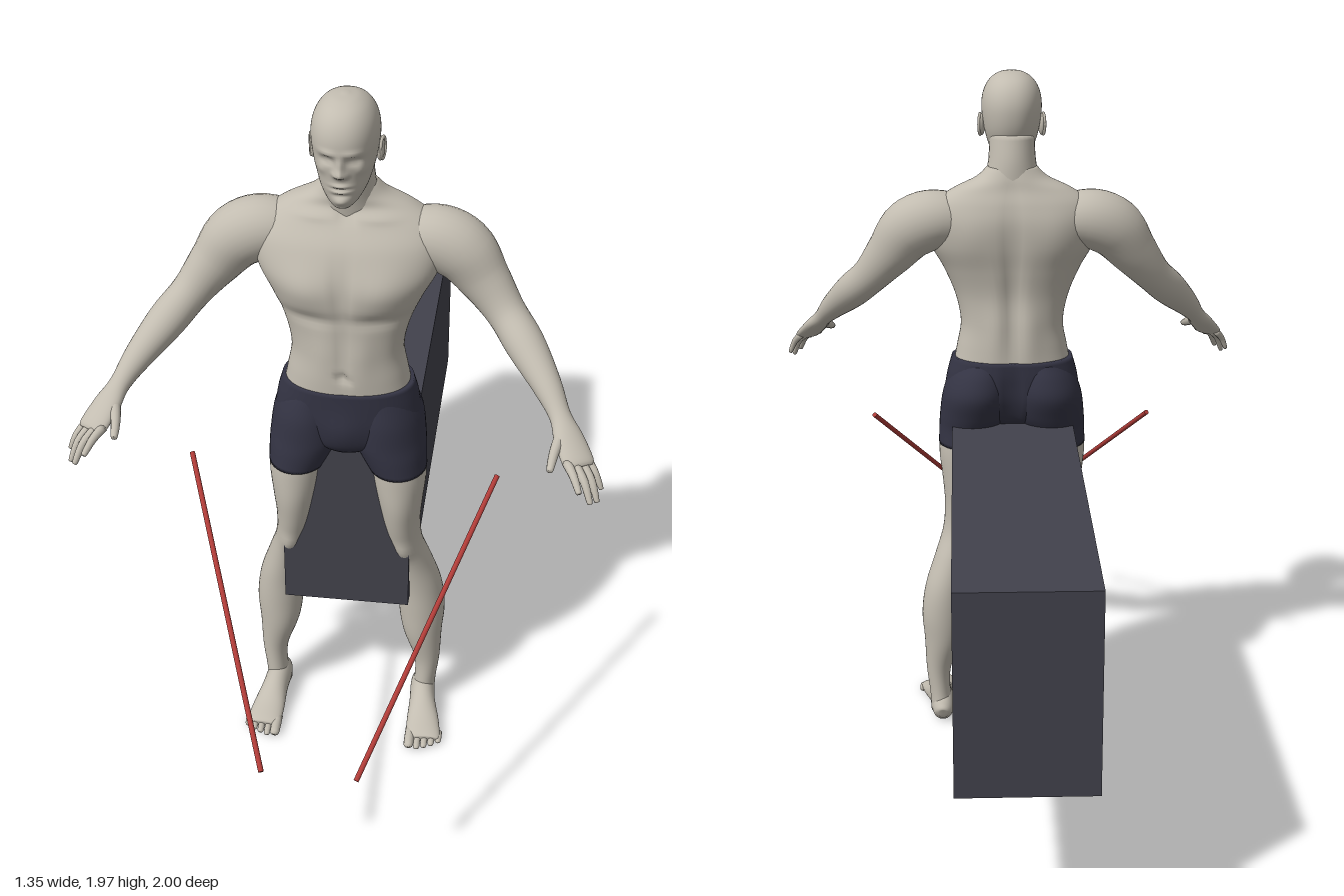
import * as THREE from 'three';

const mat = (name, color) => Object.assign(new THREE.MeshStandardMaterial({ color }), { name });

// Smooth skin over elliptical rings [x, y, z, radiusU, radiusV].
// flat: rings lie level, listed bottom to top (radiusU across x, radiusV along z).
// Otherwise rings stand square to the path (radiusU sideways, radiusV upright).
function loft(rings, { flat = false, segs = 28, rows = 5, power = 2, bumps = [], floor = false } = {}) {
  const path = new THREE.CatmullRomCurve3(rings.map(r => new THREE.Vector3(r[0], r[1], r[2])), false, 'catmullrom', 0.5);
  const size = new THREE.CatmullRomCurve3(rings.map(r => new THREE.Vector3(r[3], r[4], 0)), false, 'catmullrom', 0.5);
  const n = (rings.length - 1) * rows;
  const pos = [], index = [], U = new THREE.Vector3(), V = new THREE.Vector3(), up = new THREE.Vector3(0, 1, 0);
  const curve = a => Math.sign(a) * Math.pow(Math.abs(a), 2 / power);
  const add = (p, zMid) => {
    // Sculpting: bump = [x, y, spreadX, spreadY, push along z, back?], mirrored in x
    let dz = 0;
    for (const [bx, by, sx, sy, push, back] of bumps) {
      const facing = (p.z - zMid) * (back ? -1 : 1);
      if (facing <= 0) continue;
      dz += push * Math.exp(-(((Math.abs(p.x) - bx) / sx) ** 2) - ((p.y - by) / sy) ** 2) * Math.min(1, facing / 0.04);
    }
    pos.push(p.x, floor ? Math.max(p.y, 0) : p.y, p.z + dz);
  };
  for (let i = 0; i <= n; i++) {
    const c = path.getPoint(i / n), s = size.getPoint(i / n);
    if (flat) { U.set(0, 0, 1); V.set(1, 0, 0); } else {
      const t = path.getTangent(i / n);
      U.crossVectors(up, t).normalize();
      V.crossVectors(t, U);
    }
    const ru = flat ? s.y : s.x, rv = flat ? s.x : s.y;
    for (let j = 0; j < segs; j++) {
      const a = j / segs * Math.PI * 2;
      add(c.clone().addScaledVector(U, curve(Math.cos(a)) * ru).addScaledVector(V, curve(Math.sin(a)) * rv), c.z);
    }
  }
  for (let i = 0; i < n; i++) for (let j = 0; j < segs; j++) {
    const a = i * segs + j, b = i * segs + (j + 1) % segs;
    index.push(a, b, a + segs, b, b + segs, a + segs);
  }
  // End caps
  const first = pos.length / 3;
  for (const r of [rings[0], rings[rings.length - 1]]) pos.push(r[0], r[1], r[2]);
  for (let j = 0; j < segs; j++) {
    const k = (j + 1) % segs;
    index.push(first, k, j, first + 1, n * segs + j, n * segs + k);
  }
  const g = new THREE.BufferGeometry();
  g.setAttribute('position', new THREE.Float32BufferAttribute(pos, 3));
  g.setIndex(index);
  g.computeVertexNormals();
  return g;
}

export function createModel() {
  const model = new THREE.Group();
  const skin = mat('skin', 0xc2bcb0), cloth = mat('shorts cloth', 0x343444);
  const dark = mat('block grey', 0x42424c), red = mat('rod red', 0xb03c38);
  const add = (name, geo, material, parent = model) => {
    const m = new THREE.Mesh(geo, material);
    m.name = name;
    parent.add(m);
    return m;
  };

  // Long block behind and between the legs
  add('block', new THREE.BoxGeometry(0.35, 0.53, 1.3), dark).position.set(0, 0.695, -0.35);

  // Torso with chest, belly and back relief
  add('torso', loft([
    [0, 1.13, 0.238, 0.17, 0.108], [0, 1.19, 0.24, 0.158, 0.108], [0, 1.26, 0.24, 0.147, 0.106],
    [0, 1.34, 0.24, 0.162, 0.104], [0, 1.42, 0.238, 0.195, 0.114], [0, 1.49, 0.23, 0.232, 0.117],
    [0, 1.56, 0.217, 0.242, 0.108], [0, 1.61, 0.205, 0.22, 0.088], [0, 1.65, 0.197, 0.165, 0.066],
    [0, 1.68, 0.2, 0.102, 0.062], [0, 1.71, 0.205, 0.068, 0.058],
  ], {
    flat: true, segs: 72, rows: 7, power: 2.25, bumps: [
      [0.1, 1.46, 0.075, 0.06, 0.016], [0, 1.46, 0.015, 0.08, -0.01], [0.09, 1.375, 0.08, 0.018, -0.009],
      [0, 1.27, 0.012, 0.1, -0.006], [0, 1.205, 0.012, 0.012, -0.014], [0.05, 1.28, 0.03, 0.08, 0.005],
      [0, 1.64, 0.015, 0.02, -0.012], [0.08, 1.635, 0.06, 0.012, 0.008],
      [0, 1.38, 0.022, 0.22, 0.016, true], [0.12, 1.52, 0.07, 0.08, -0.01, true],
      [0.05, 1.24, 0.03, 0.1, -0.006, true],
    ],
  }), skin);

  // Neck and head
  add('neck', loft([
    [0, 1.61, 0.2, 0.085, 0.06], [0, 1.67, 0.206, 0.076, 0.066], [0, 1.73, 0.215, 0.066, 0.072], [0, 1.8, 0.225, 0.062, 0.068],
  ], { flat: true }), skin);
  add('head', loft([
    [0, 1.7, 0.325, 0.022, 0.025], [0, 1.715, 0.304, 0.04, 0.05], [0, 1.745, 0.284, 0.058, 0.078],
    [0, 1.78, 0.268, 0.07, 0.098], [0, 1.82, 0.262, 0.079, 0.11], [0, 1.87, 0.262, 0.084, 0.116],
    [0, 1.91, 0.262, 0.078, 0.107], [0, 1.94, 0.262, 0.061, 0.085], [0, 1.958, 0.262, 0.036, 0.05],
    [0, 1.965, 0.262, 0.006, 0.008],
  ], {
    flat: true, segs: 96, rows: 9, power: 2.15, bumps: [
      [0, 1.801, 0.012, 0.012, 0.02], [0, 1.822, 0.009, 0.02, 0.012], [0.013, 1.797, 0.007, 0.007, 0.008],
      [0.033, 1.833, 0.016, 0.01, -0.013], [0.033, 1.832, 0.009, 0.005, 0.006], [0.03, 1.853, 0.025, 0.008, 0.006],
      [0, 1.765, 0.02, 0.005, 0.008], [0, 1.757, 0.022, 0.003, -0.005], [0, 1.749, 0.018, 0.005, 0.008],
      [0, 1.738, 0.02, 0.005, -0.004], [0, 1.72, 0.02, 0.011, 0.009], [0.052, 1.805, 0.014, 0.014, 0.006],
    ],
  }), skin);

  // Shorts: hips, with the two legs added below
  add('shortsHips', loft([
    [0, 0.955, 0.25, 0.07, 0.065], [0, 0.985, 0.245, 0.15, 0.088], [0, 1.04, 0.237, 0.192, 0.106],
    [0, 1.1, 0.236, 0.189, 0.112], [0, 1.157, 0.238, 0.174, 0.113],
  ], { flat: true, segs: 56, power: 2.25, bumps: [[0, 1.03, 0.045, 0.06, 0.012], [0, 1.05, 0.02, 0.09, 0.02, true]] }), cloth);

  for (const s of [1, -1]) {
    const side = new THREE.Group();
    side.name = s > 0 ? 'leftSide' : 'rightSide';
    model.add(side);
    const flip = rings => rings.map(([x, ...rest]) => [x * s, ...rest]);

    add('shortsLeg', loft(flip([
      [0.136, 0.888, 0.25, 0.079, 0.093], [0.121, 0.94, 0.248, 0.092, 0.098], [0.108, 0.985, 0.238, 0.102, 0.108],
      [0.101, 1.05, 0.226, 0.1, 0.12], [0.092, 1.105, 0.227, 0.088, 0.111], [0.08, 1.15, 0.235, 0.07, 0.095],
    ]), { flat: true, segs: 40 }), cloth, side);

    add('leg', loft(flip([
      [0.215, 0.03, 0.205, 0.035, 0.046], [0.222, 0.09, 0.208, 0.031, 0.041], [0.225, 0.17, 0.207, 0.037, 0.043],
      [0.21, 0.27, 0.203, 0.056, 0.059], [0.206, 0.36, 0.2, 0.066, 0.066], [0.198, 0.45, 0.202, 0.062, 0.068],
      [0.178, 0.54, 0.215, 0.053, 0.066], [0.158, 0.62, 0.235, 0.048, 0.066], [0.148, 0.7, 0.245, 0.052, 0.078],
      [0.144, 0.78, 0.25, 0.062, 0.088], [0.14, 0.86, 0.25, 0.074, 0.09], [0.135, 0.92, 0.25, 0.075, 0.088],
    ]), { flat: true, segs: 36, bumps: [[0.16, 0.615, 0.025, 0.025, 0.008]] }), skin, side);

    // Foot and toes
    add('foot', loft(flip([
      [0.214, 0.03, 0.157, 0.014, 0.018], [0.214, 0.035, 0.168, 0.028, 0.033], [0.215, 0.045, 0.205, 0.035, 0.048],
      [0.22, 0.043, 0.265, 0.037, 0.043], [0.228, 0.026, 0.33, 0.046, 0.027], [0.234, 0.017, 0.385, 0.049, 0.017],
      [0.235, 0.014, 0.4, 0.042, 0.011],
    ]), { floor: true }), skin, side);
    for (let k = 0; k < 5; k++) {
      const x = 0.196 + k * 0.02 + (k ? 0.003 : 0), r = k ? 0.0095 : 0.014, z = [0.436, 0.436, 0.428, 0.418, 0.404][k];
      add('toe', loft(flip([
        [x, r + 0.003, 0.365, r, r], [x, r, z - 0.015, r, r], [x, r * 0.9, z - 0.003, r * 0.75, r * 0.7], [x, r * 0.8, z, r * 0.2, r * 0.2],
      ]), { segs: 12, rows: 3, floor: true }), skin, side);
    }

    // Arm down to the palm
    add('arm', loft(flip([
      [0.12, 1.55, 0.205, 0.06, 0.06], [0.21, 1.562, 0.203, 0.08, 0.082], [0.285, 1.533, 0.21, 0.08, 0.085],
      [0.345, 1.462, 0.225, 0.062, 0.069], [0.405, 1.388, 0.258, 0.05, 0.053], [0.46, 1.33, 0.315, 0.051, 0.05],
      [0.52, 1.265, 0.392, 0.038, 0.037], [0.558, 1.215, 0.45, 0.028, 0.025], [0.583, 1.18, 0.495, 0.039, 0.021],
      [0.61, 1.143, 0.54, 0.042, 0.017], [0.617, 1.133, 0.552, 0.034, 0.01],
    ])), skin, side);

    // Fingers and thumb: [knuckle, bend, tip, radius]
    const fingers = [
      [[0.564, 1.187, 0.49], [0.55, 1.165, 0.545], [0.543, 1.148, 0.592], 0.0125],
      [[0.583, 1.145, 0.552], [0.601, 1.132, 0.59], [0.616, 1.108, 0.622], 0.0105],
      [[0.602, 1.14, 0.548], [0.628, 1.115, 0.585], [0.645, 1.074, 0.612], 0.0105],
      [[0.62, 1.138, 0.537], [0.646, 1.108, 0.567], [0.662, 1.064, 0.588], 0.01],
      [[0.635, 1.138, 0.524], [0.656, 1.112, 0.544], [0.671, 1.078, 0.554], 0.009],
    ];
    fingers.forEach(([a, b, c, r], k) => {
      const e = c.map((v, i) => v + (v - b[i]) * 0.08);
      add(k ? 'finger' : 'thumb', loft(flip([[...a, r * 1.2, r * 1.2], [...b, r, r], [...c, r * 0.7, r * 0.7], [...e, r * 0.2, r * 0.2]]),
        { segs: 12, rows: 4 }), skin, side);
    });

    // Ear: flattened shell with a rim
    const ear = add('ear', new THREE.SphereGeometry(1, 20, 14), skin, side);
    ear.scale.set(0.009, 0.031, 0.018);
    ear.position.set(0.083 * s, 1.818, 0.25);
    ear.rotation.set(-0.15, -0.25 * s, 0);
    const rim = add('earRim', new THREE.TorusGeometry(0.019, 0.004, 8, 24), skin, side);
    rim.scale.set(0.85, 1.45, 1);
    rim.position.set(0.088 * s, 1.819, 0.248);
    rim.rotation.y = Math.PI / 2 - 0.25 * s;

    // Slanted rod in front
    const from = new THREE.Vector3(0.408 * s, 0.938, 0.345), to = new THREE.Vector3(0.12 * s, 0.443, 0.996);
    const dir = to.clone().sub(from);
    const rod = add('rod', new THREE.CylinderGeometry(0.007, 0.007, dir.length(), 12), red, side);
    rod.position.copy(from).add(to).multiplyScalar(0.5);
    rod.quaternion.setFromUnitVectors(new THREE.Vector3(0, 1, 0), dir.normalize());
  }
  return model;
}
